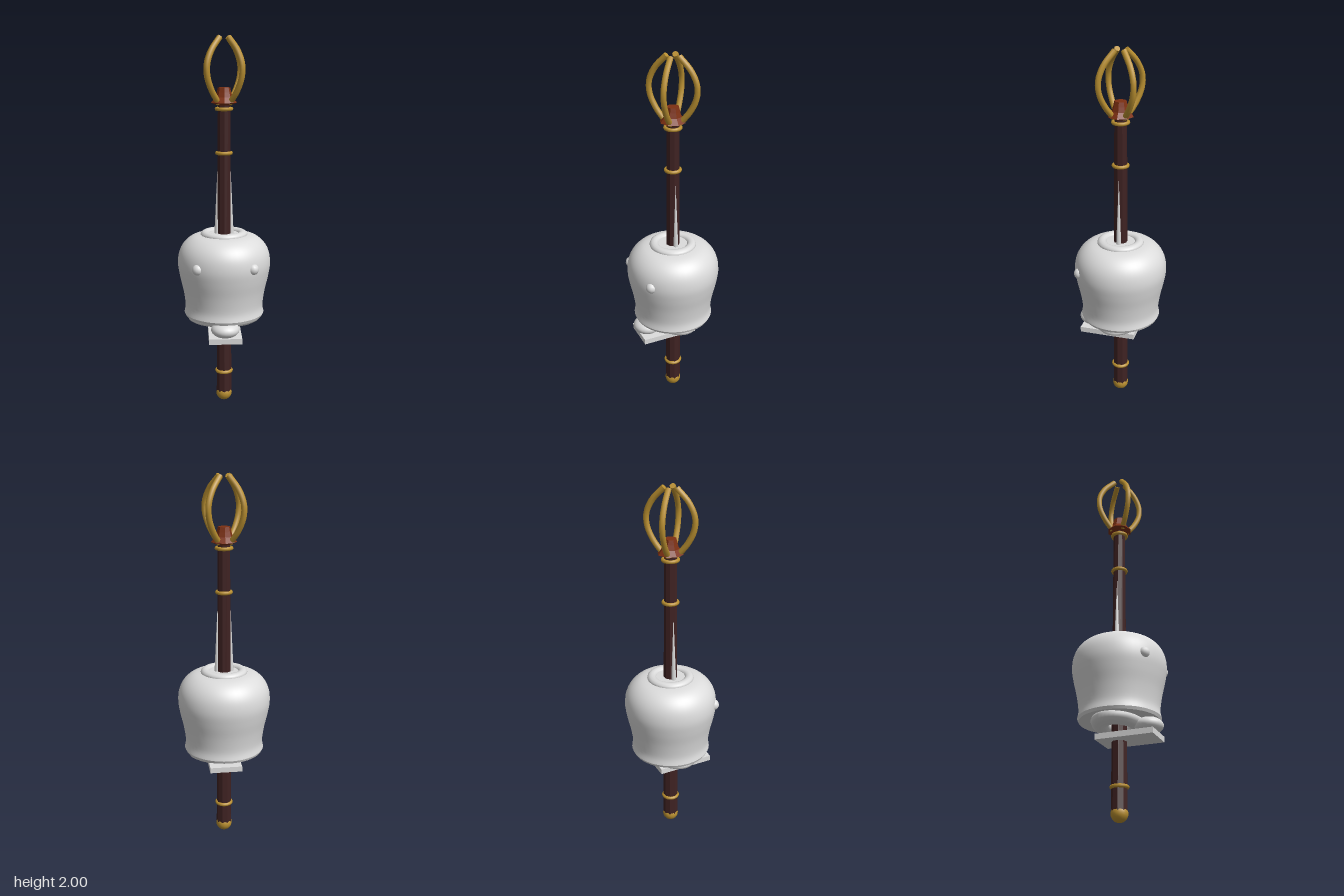
import * as THREE from 'three';

const mat = (name, color, extra = {}) => {
  const m = new THREE.MeshStandardMaterial({ color, ...extra });
  m.name = name;
  return m;
};

export function createModel() {
  const wood = mat('dark wood', 0x3f2222, { flatShading: true });
  const gold = mat('gold', 0xb98f30);
  const white = mat('white', 0xdcdcdc, { side: THREE.DoubleSide });
  const amber = mat('amber', 0x7d3012, { flatShading: true });

  const model = new THREE.Group();
  const add = (name, geo, material, x = 0, y = 0, z = 0, parent = model) => {
    const mesh = new THREE.Mesh(geo, material);
    mesh.name = name;
    mesh.position.set(x, y, z);
    parent.add(mesh);
    return mesh;
  };
  const v2 = ([x, y]) => new THREE.Vector2(x, y);

  // Staff: tapered faceted shaft, pommel and collar rings
  add('shaft', new THREE.CylinderGeometry(0.033, 0.042, 1.61, 9), wood, 0, 0.855, 0);
  add('pommel', new THREE.SphereGeometry(0.044, 16, 12), gold, 0, 0.044, 0);
  for (const [y, r] of [[0.175, 0.04], [1.395, 0.037], [1.625, 0.039]]) {
    add('collarRing', new THREE.TorusGeometry(r, 0.01, 8, 20).rotateX(Math.PI / 2), gold, 0, y, 0);
  }

  // Faceted flared crown at the staff head
  const crown = [[0, 1.64], [0.04, 1.645], [0.068, 1.657], [0.045, 1.685], [0.038, 1.71], [0.032, 1.735], [0, 1.735]];
  add('crown', new THREE.LatheGeometry(crown.map(v2), 8), amber);

  // Four curved prongs on the diagonals, closing towards the top
  const curve = new THREE.CatmullRomCurve3(
    [[0.04, 1.655], [0.088, 1.715], [0.121, 1.785], [0.125, 1.85], [0.095, 1.92], [0.032, 1.988]]
      .map(([d, y]) => new THREE.Vector3(d, y, 0)));
  for (let i = 0; i < 4; i++) {
    const prong = new THREE.Group();
    prong.name = 'prong';
    prong.rotation.y = Math.PI / 4 + i * Math.PI / 2;
    add('prongTube', new THREE.TubeGeometry(curve, 20, 0.0155, 8), gold, 0, 0, 0, prong);
    const tip = curve.getPoint(1);
    const cap = add('prongCap', new THREE.CircleGeometry(0.0155, 8), gold, tip.x, tip.y, 0, prong);
    cap.quaternion.setFromUnitVectors(new THREE.Vector3(0, 0, 1), curve.getTangent(1));
    model.add(prong);
  }

  // Bell: smooth shoulders, narrowing waist and flared lip
  const wall = new THREE.SplineCurve([[0.217, 0.525], [0.211, 0.57], [0.222, 0.65], [0.24, 0.73], [0.25, 0.8],
    [0.241, 0.865], [0.212, 0.915], [0.165, 0.948], [0.1, 0.96]].map(v2));
  add('bell', new THREE.LatheGeometry(wall.getPoints(36), 48), white);
  add('bellLip', new THREE.CylinderGeometry(0.217, 0.21, 0.015, 48), white, 0, 0.5175, 0);
  add('topRim', new THREE.TorusGeometry(0.101, 0.025, 12, 40).rotateX(Math.PI / 2).scale(1, 0.8, 1), white, 0, 0.957, 0);
  add('topPlate', new THREE.CylinderGeometry(0.1, 0.1, 0.008, 32), white, 0, 0.958, 0);

  // Small bumps on the front and slim spikes against the shaft
  for (const s of [-1, 1]) {
    add('bump', new THREE.SphereGeometry(0.03, 14, 10), white, s * 0.144, 0.81, 0.19);
    const spike = add('spike', new THREE.ConeGeometry(0.014, 0.37, 8), white, s * 0.036, 1.145, 0);
    spike.rotation.z = s * 0.01;
  }

  // Underside: oval ring, rounded clapper and flat base plate
  add('ovalRing', new THREE.TorusGeometry(0.135, 0.065, 12, 40).rotateX(Math.PI / 2).scale(1, 0.55, 0.68), white, 0, 0.497, 0);
  add('clapper', new THREE.SphereGeometry(1, 24, 16).scale(0.076, 0.043, 0.075), white, 0, 0.472, 0.16);
  add('basePlate', new THREE.BoxGeometry(0.176, 0.03, 0.31), white, 0, 0.42, 0.055);

  return model;
}
